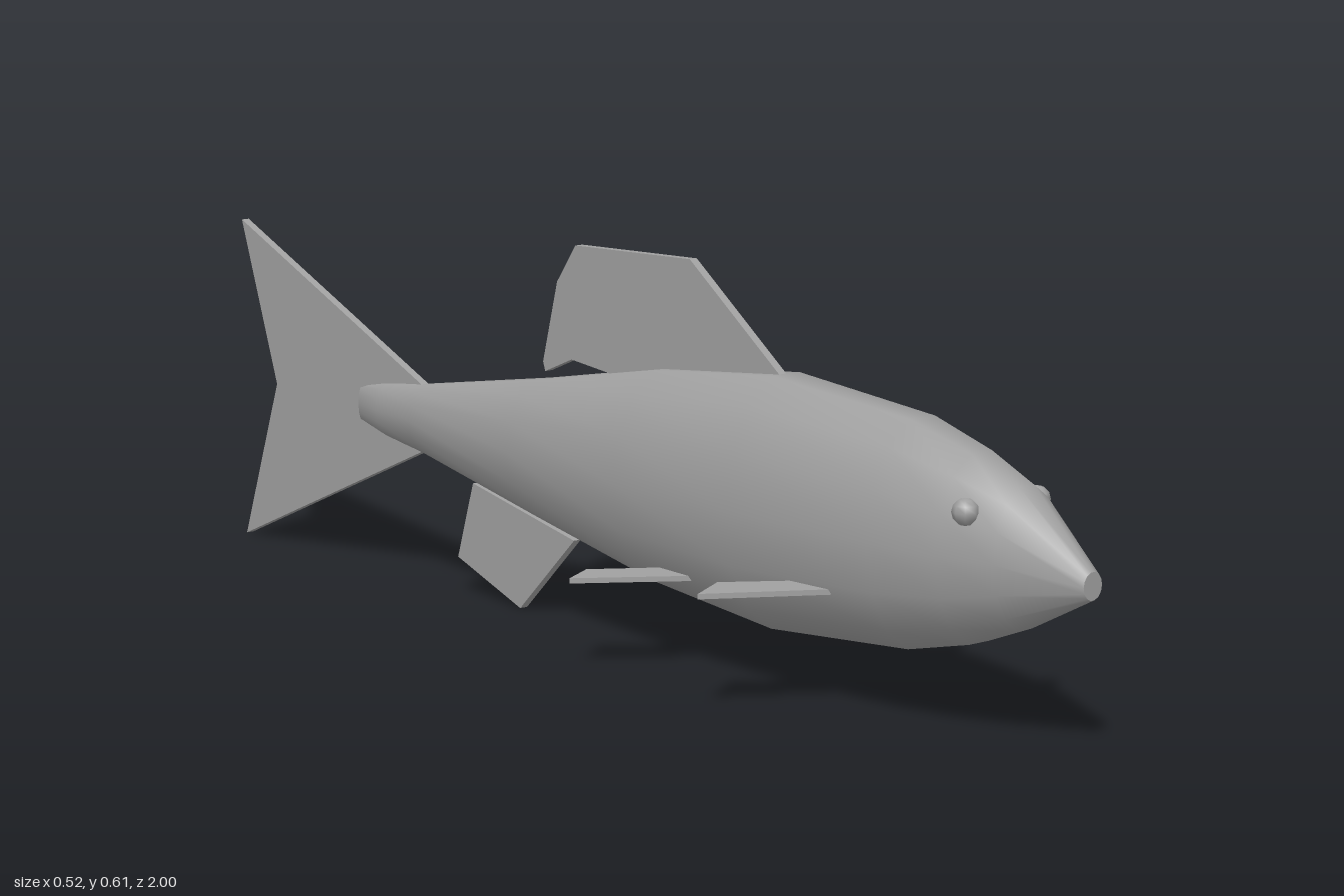
import * as THREE from 'three';

const grey = new THREE.MeshStandardMaterial({ color: 0xa0a0a0 });
grey.name = 'fish grey';

function addMesh(parent, name, geometry) {
  const mesh = new THREE.Mesh(geometry, grey);
  mesh.name = name;
  parent.add(mesh);
  return mesh;
}

// Thin plate from an outline, centred on its own plane
function plate(points, thickness) {
  const shape = new THREE.Shape(points.map(([a, b]) => new THREE.Vector2(a, b)));
  const geometry = new THREE.ExtrudeGeometry(shape, { depth: thickness, bevelEnabled: false });
  return geometry.translate(0, 0, -thickness / 2);
}

// Outline given as [z, y]
const uprightFin = (points) => plate(points, 0.014).rotateY(-Math.PI / 2);
// Outline given as [x, z]
const flatFin = (points, y) => plate(points, 0.008).rotateX(Math.PI / 2).translate(0, y, 0);

// Loft of 14-sided oval rings, smooth along the sides with flat end caps
function bodyGeometry() {
  const sides = 14;
  // z, top, bottom, half width
  const sections = [
    [1.0, 0.275, 0.235, 0.018],
    [0.87, 0.375, 0.17, 0.066],
    [0.78, 0.41, 0.135, 0.09],
    [0.66, 0.442, 0.107, 0.108],
    [0.37, 0.465, 0.085, 0.12],
    [0.1, 0.437, 0.11, 0.11],
    [-0.2, 0.38, 0.163, 0.075],
    [-0.5, 0.33, 0.218, 0.037],
    [-0.6, 0.319, 0.231, 0.027],
    [-0.67, 0.308, 0.243, 0.011],
  ];
  const positions = [], index = [];
  const addRing = ([z, top, bottom, halfWidth]) => {
    const start = positions.length / 3;
    // stretch so the flat-topped ring reaches its full height
    const radius = (top - bottom) / 2 / Math.sin((6 * Math.PI) / sides);
    for (let j = 0; j < sides; j++) {
      const angle = (j / sides) * Math.PI * 2;
      positions.push(halfWidth * Math.cos(angle), (top + bottom) / 2 + radius * Math.sin(angle), z);
    }
    return start;
  };
  const starts = sections.map(addRing);
  for (let i = 0; i < starts.length - 1; i++) {
    for (let j = 0; j < sides; j++) {
      const k = (j + 1) % sides;
      const a = starts[i] + j, b = starts[i] + k, c = starts[i + 1] + j, d = starts[i + 1] + k;
      index.push(a, c, b, b, c, d);
    }
  }
  const nose = addRing(sections[0]);
  const tail = addRing(sections[sections.length - 1]);
  for (let j = 1; j < sides - 1; j++) {
    index.push(nose, nose + j, nose + j + 1);
    index.push(tail, tail + j + 1, tail + j);
  }
  const geometry = new THREE.BufferGeometry();
  geometry.setAttribute('position', new THREE.Float32BufferAttribute(positions, 3));
  geometry.setIndex(index);
  geometry.computeVertexNormals();
  return geometry;
}

export function createModel() {
  const fish = new THREE.Group();
  fish.name = 'fish';

  addMesh(fish, 'body', bodyGeometry());

  // Fins on the centre line
  addMesh(fish, 'dorsalFin', uprightFin([
    [0.37, 0.458], [0.16, 0.612], [-0.11, 0.602], [-0.155, 0.54],
    [-0.19, 0.41], [-0.185, 0.395], [-0.12, 0.422], [0, 0.41], [0.2, 0.43],
  ]));
  addMesh(fish, 'tailFin', uprightFin([
    [-0.5, 0.328], [-1, 0.545], [-0.905, 0.275], [-1, 0.003], [-0.5, 0.22],
  ]));
  addMesh(fish, 'analFin', uprightFin([
    [-0.115, 0.135], [-0.37, 0.187], [-0.41, 0.06], [-0.25, 0.003],
  ]));

  // Paired fins and eyes
  for (const [side, s] of [['left', 1], ['right', -1]]) {
    const mirror = (points) => points.map(([x, z]) => [s * x, z]);
    addMesh(fish, side + 'PectoralFin', flatFin(mirror([
      [0.08, 0.58], [0.26, 0.472], [0.188, 0.432], [0.08, 0.507],
    ]), 0.186));
    addMesh(fish, side + 'PelvicFin', flatFin(mirror([
      [0.07, 0.255], [0.229, 0.145], [0.17, 0.113], [0.07, 0.18],
    ]), 0.148));
    addMesh(fish, side + 'Eye', new THREE.SphereGeometry(0.02, 8, 6))
      .position.set(s * 0.07, 0.34, 0.82);
  }
  return fish;
}
